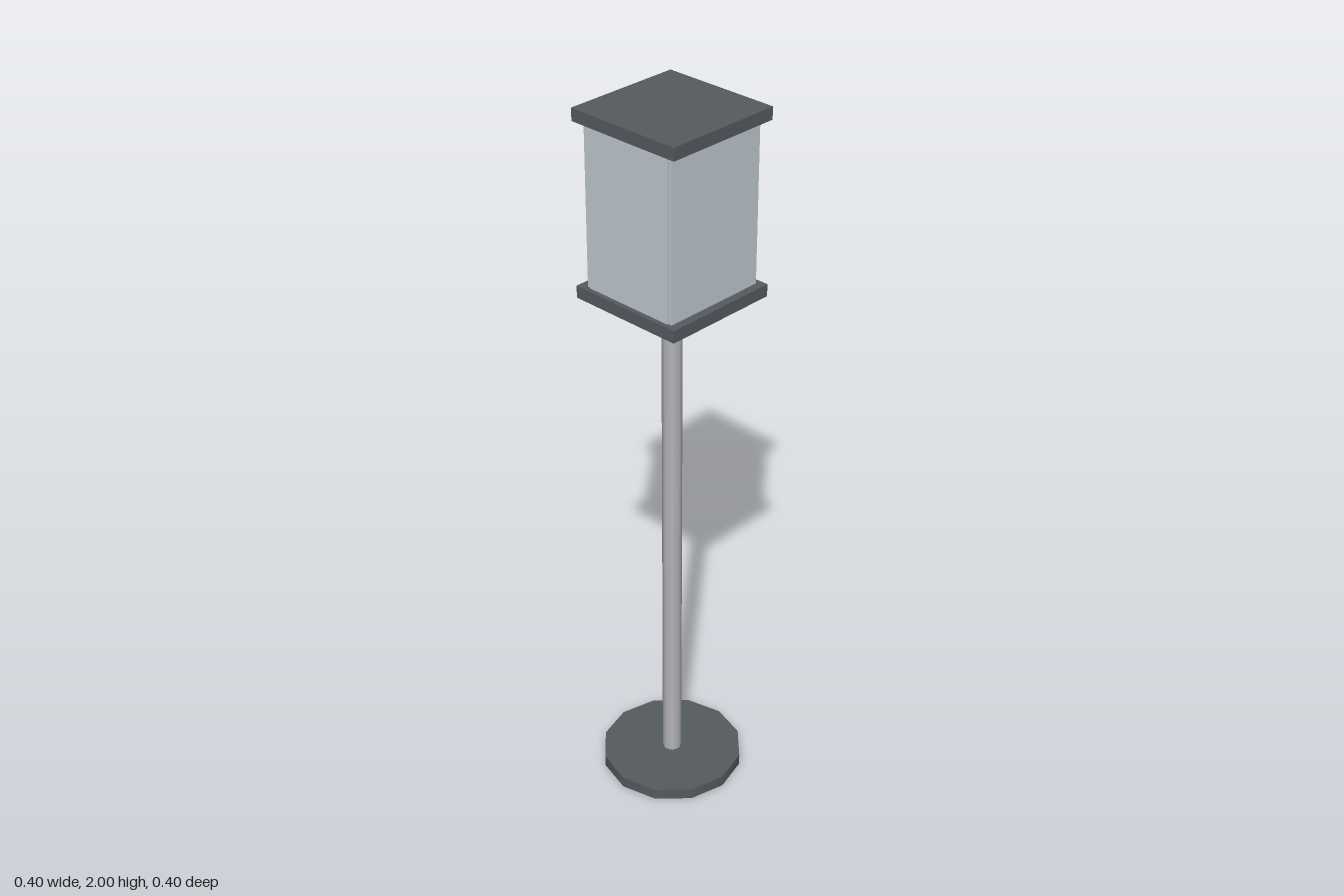
import * as THREE from 'three';

export function createModel() {
  const model = new THREE.Group();
  model.name = 'lantern';
  const dark = new THREE.MeshStandardMaterial({ color: 0x555a60 });
  const steel = new THREE.MeshStandardMaterial({ color: 0xb4b4b8 });
  const glass = new THREE.MeshStandardMaterial({ color: 0xbfc9d0 });

  const add = (name, geometry, material, x, y, z) => {
    const mesh = new THREE.Mesh(geometry, material);
    mesh.name = name;
    mesh.position.set(x, y, z);
    model.add(mesh);
  };

  const plate = 0.0333; // thickness of foot and lantern plates
  const lower = 1.5; // underside of the lantern
  const paneHeight = 2 - lower - 2 * plate;
  const paneY = (2 + lower) / 2;

  // Foot and pole
  add('foot', new THREE.CylinderGeometry(0.2, 0.2, plate, 12), dark, 0, plate / 2, 0);
  add('pole', new THREE.CylinderGeometry(0.0267, 0.0267, lower - plate, 8), steel, 0, (lower + plate) / 2, 0);

  // Square plates below and above the glass
  const plateGeometry = new THREE.BoxGeometry(0.3333, plate, 0.3333);
  add('lanternFloor', plateGeometry, dark, 0, lower + plate / 2, 0);
  add('lanternRoof', plateGeometry, dark, 0, 2 - plate / 2, 0);

  // Thin glass panes on the four sides
  const frontPane = new THREE.BoxGeometry(0.3, paneHeight, 0.0067);
  const sidePane = new THREE.BoxGeometry(0.0067, paneHeight, 0.2667);
  for (const s of [1, -1]) {
    add(s > 0 ? 'frontPane' : 'backPane', frontPane, glass, 0, paneY, s * 0.14);
    add(s > 0 ? 'leftPane' : 'rightPane', sidePane, glass, s * 0.15, paneY, 0);
  }
  return model;
}
